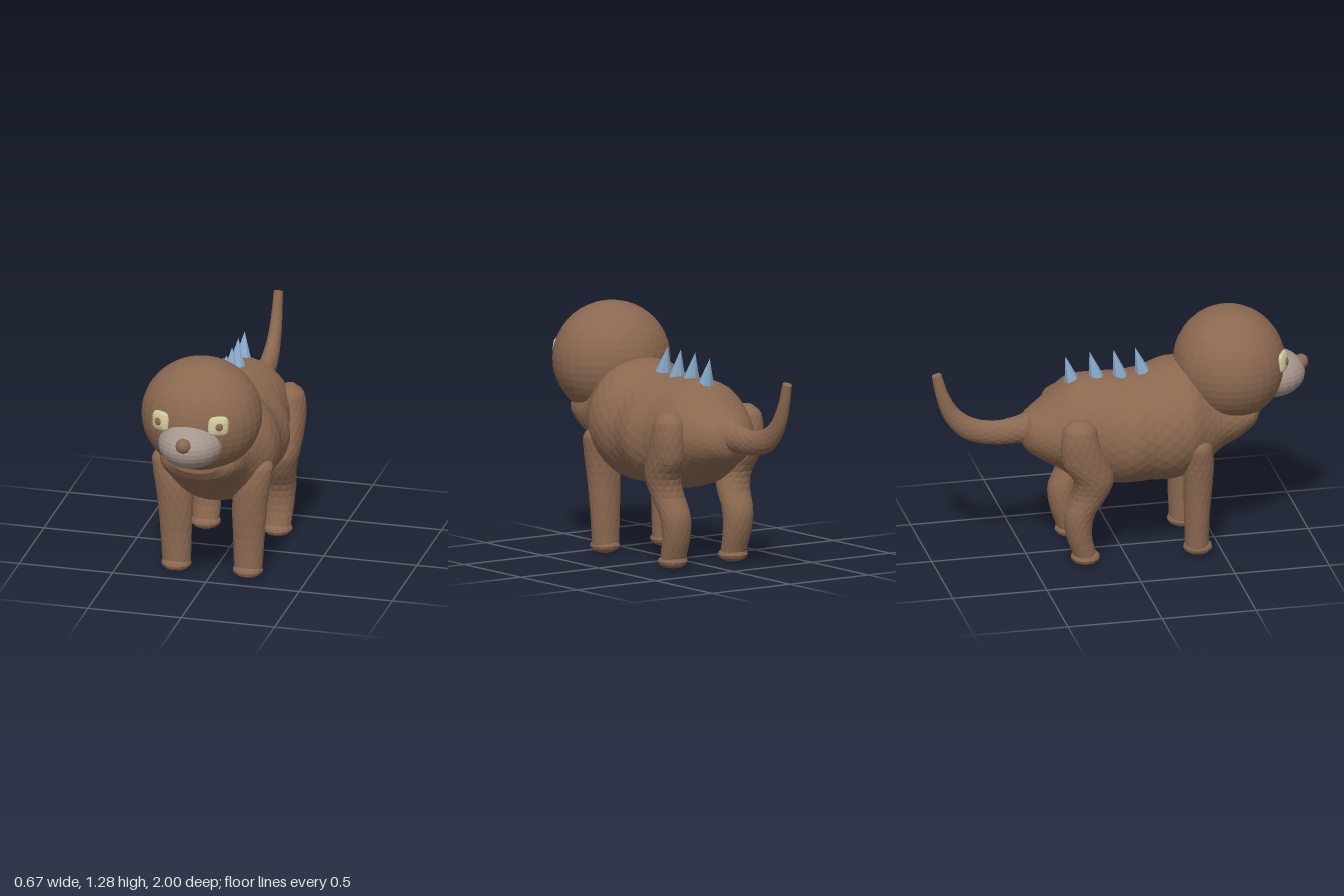
import * as THREE from 'three';

const material = (name, color) => {
  const m = new THREE.MeshStandardMaterial({ color });
  m.name = name;
  return m;
};

// Give every facet its own normal for the chiselled look
function faceted(geometry) {
  const g = geometry.index ? geometry.toNonIndexed() : geometry;
  g.computeVertexNormals();
  return g;
}

// Skin elliptical rings along a spline; rows are [x, y, z, half width, half depth]
function loft(rows, steps, sides, fixedDir) {
  const path = new THREE.CatmullRomCurve3(rows.map(r => new THREE.Vector3(r[0], r[1], r[2])));
  const size = new THREE.CatmullRomCurve3(rows.map(r => new THREE.Vector3(r[3], r[4], 0)));
  const pos = [], index = [];
  const across = new THREE.Vector3(1, 0, 0);
  for (let i = 0; i <= steps; i++) {
    const t = i / steps, c = path.getPoint(t), s = size.getPoint(t);
    const dir = fixedDir || path.getTangent(t);
    const v = new THREE.Vector3().crossVectors(dir, across).normalize();
    for (let j = 0; j < sides; j++) {
      const a = (j + (i % 2) * 0.5) / sides * Math.PI * 2;
      const p = c.clone().addScaledVector(across, Math.cos(a) * s.x).addScaledVector(v, Math.sin(a) * s.y);
      pos.push(p.x, p.y, p.z);
      if (i < steps) {
        const k = (j + 1) % sides, A = i * sides + j, B = i * sides + k;
        const C = A + sides, D = B + sides;
        if (i % 2) index.push(A, B, D, A, D, C);
        else index.push(A, B, C, B, D, C);
      }
    }
  }
  // End caps
  const first = path.getPoint(0), last = path.getPoint(1), n = (steps + 1) * sides;
  pos.push(first.x, first.y, first.z, last.x, last.y, last.z);
  for (let j = 0; j < sides; j++) {
    const k = (j + 1) % sides;
    index.push(n, k, j, n + 1, steps * sides + j, steps * sides + k);
  }
  const g = new THREE.BufferGeometry();
  g.setAttribute('position', new THREE.Float32BufferAttribute(pos, 3));
  g.setIndex(index);
  return faceted(g);
}

export function createModel() {
  const model = new THREE.Group();
  model.name = 'spikedCreature';
  const brown = material('brownHide', 0x8b6850);
  const grey = material('greyMuzzle', 0xa6968d);
  const cream = material('creamEye', 0xd0c89c);
  const blue = material('blueSpike', 0x88a9c9);

  function add(name, geometry, mat) {
    const mesh = new THREE.Mesh(geometry, mat);
    mesh.name = name;
    model.add(mesh);
    return mesh;
  }
  function ellipsoid(name, mat, centre, radii, w = 16, h = 12) {
    const g = new THREE.SphereGeometry(1, w, h);
    g.scale(...radii);
    const mesh = add(name, faceted(g), mat);
    mesh.position.set(...centre);
    return mesh;
  }

  // Trunk, from rump to chest
  add('body', loft([
    [0, 0.68, -0.53, 0.04, 0.04],
    [0, 0.69, -0.50, 0.12, 0.10],
    [0, 0.69, -0.42, 0.19, 0.155],
    [0, 0.70, -0.34, 0.235, 0.21],
    [0, 0.70, -0.25, 0.265, 0.275],
    [0, 0.683, -0.10, 0.285, 0.292],
    [0, 0.675, 0.02, 0.325, 0.29],
    [0, 0.683, 0.13, 0.312, 0.297],
    [0, 0.703, 0.25, 0.332, 0.318],
    [0, 0.71, 0.33, 0.325, 0.312],
    [0, 0.71, 0.42, 0.27, 0.27],
    [0, 0.72, 0.50, 0.235, 0.20],
    [0, 0.73, 0.60, 0.22, 0.15],
    [0, 0.74, 0.68, 0.19, 0.10],
    [0, 0.74, 0.72, 0.11, 0.04],
  ], 36, 26, new THREE.Vector3(0, 0, 1)), brown);

  // Upswept tail
  add('tail', loft([
    [0, 0.72, -0.42, 0.12, 0.10],
    [0, 0.705, -0.55, 0.062, 0.072],
    [0, 0.70, -0.66, 0.05, 0.065],
    [0, 0.73, -0.79, 0.045, 0.062],
    [0, 0.81, -0.885, 0.036, 0.048],
    [0, 0.92, -0.94, 0.03, 0.035],
    [0, 1.05, -0.974, 0.024, 0.026],
  ], 22, 12), brown);

  // Head and face
  ellipsoid('head', brown, [0, 0.985, 0.58], [0.315, 0.30, 0.292], 32, 22);
  ellipsoid('muzzle', grey, [0, 0.905, 0.80], [0.17, 0.125, 0.18], 22, 16);
  ellipsoid('nose', brown, [0, 0.95, 0.962], [0.04, 0.04, 0.038], 12, 8);

  for (const side of [1, -1]) {
    const label = side > 0 ? 'left' : 'right';

    // Eye: soft square pad with a round pupil
    const eye = new THREE.Group();
    eye.name = label + 'Eye';
    const pad = new THREE.SphereGeometry(1, 16, 10);
    const p = pad.attributes.position;
    for (let i = 0; i < p.count; i++) {
      const x = p.getX(i), y = p.getY(i);
      const r = Math.hypot(x, y) || 1;
      const f = r / Math.pow(Math.pow(Math.abs(x), 4) + Math.pow(Math.abs(y), 4), 0.25);
      const k = Number.isFinite(f) ? f : 1;
      p.setXYZ(i, x * k * 0.055, y * k * 0.053, p.getZ(i) * 0.022);
    }
    const white = new THREE.Mesh(faceted(pad), cream);
    white.name = 'eyePad';
    const disc = new THREE.SphereGeometry(1, 12, 8);
    disc.scale(0.021, 0.021, 0.008);
    const pupil = new THREE.Mesh(faceted(disc), brown);
    pupil.name = 'pupil';
    pupil.position.z = 0.02;
    eye.add(white, pupil);
    eye.position.set(side * 0.155, 1.026, 0.832);
    eye.rotation.set(-0.1, side * 0.5, 0);
    model.add(eye);

    // Front leg and paw
    add(label + 'FrontLeg', loft([
      [side * 0.235, 0.68, 0.35, 0.05, 0.04],
      [side * 0.235, 0.63, 0.36, 0.09, 0.075],
      [side * 0.215, 0.52, 0.37, 0.095, 0.08],
      [side * 0.20, 0.40, 0.37, 0.093, 0.075],
      [side * 0.195, 0.22, 0.365, 0.083, 0.066],
      [side * 0.192, 0.05, 0.365, 0.075, 0.062],
    ], 14, 14, new THREE.Vector3(0, -1, 0)), brown);
    ellipsoid(label + 'FrontPaw', brown, [side * 0.192, 0.046, 0.37], [0.08, 0.04, 0.077], 12, 8);

    // Hind leg with thigh, bent hock and paw
    add(label + 'HindLeg', loft([
      [side * 0.245, 0.83, -0.27, 0.03, 0.04],
      [side * 0.25, 0.79, -0.27, 0.07, 0.085],
      [side * 0.25, 0.70, -0.265, 0.085, 0.105],
      [side * 0.245, 0.58, -0.235, 0.085, 0.12],
      [side * 0.23, 0.48, -0.19, 0.088, 0.105],
      [side * 0.21, 0.39, -0.205, 0.088, 0.09],
      [side * 0.20, 0.28, -0.26, 0.083, 0.08],
      [side * 0.195, 0.17, -0.262, 0.078, 0.068],
      [side * 0.192, 0.05, -0.23, 0.07, 0.06],
    ], 22, 14, new THREE.Vector3(0, -1, 0)), brown);
    ellipsoid(label + 'Haunch', brown, [side * 0.245, 0.63, -0.275], [0.085, 0.12, 0.085], 12, 9);
    ellipsoid(label + 'HindPaw', brown, [side * 0.192, 0.042, -0.227], [0.08, 0.038, 0.077], 12, 8);
  }

  // Row of back spikes leaning toward the tail: [base z, base y, tip z, tip y]
  [[0.125, 0.96, 0.08, 1.11], [0.005, 0.945, -0.035, 1.11],
    [-0.122, 0.955, -0.162, 1.11], [-0.25, 0.94, -0.29, 1.095]].forEach(([z, y, tipZ, tipY], i) => {
    const height = tipY - y;
    const g = new THREE.ConeGeometry(0.05, height, 8, 1);
    g.scale(1, 1, 0.88);
    g.translate(0, height / 2, 0);
    const v = g.attributes.position;
    for (let k = 0; k < v.count; k++) v.setZ(k, v.getZ(k) + (tipZ - z) * v.getY(k) / height);
    add('backSpike' + (i + 1), faceted(g), blue).position.set(0, y, z);
  });

  return model;
}
